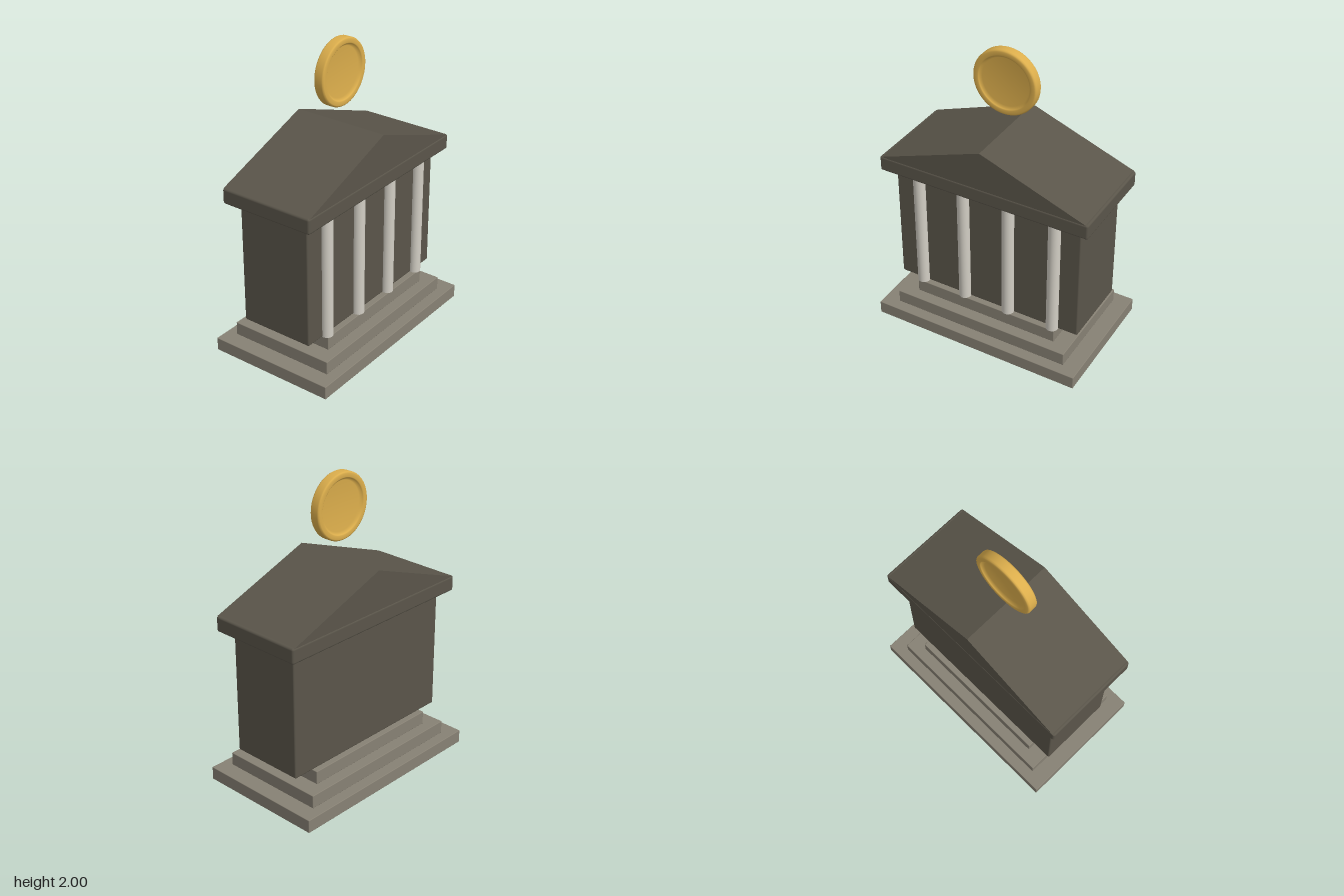
import * as THREE from 'three';
import { RoundedBoxGeometry } from 'three/addons/geometries/RoundedBoxGeometry.js';

export function createModel() {
  const material = (name, color) => {
    const m = new THREE.MeshStandardMaterial({ color });
    m.name = name;
    return m;
  };
  const darkStone = material('dark stone', 0x5a554a);
  const stepStone = material('step stone', 0x878174);
  const paleStone = material('pale stone', 0xd2cec4);
  const gold = material('gold', 0xdcae4c);

  const model = new THREE.Group();
  model.name = 'bank';
  const add = (name, geometry, mat, x = 0, y = 0, z = 0) => {
    const mesh = new THREE.Mesh(geometry, mat);
    mesh.name = name;
    mesh.position.set(x, y, z);
    model.add(mesh);
    return mesh;
  };
  // Softly edged block, given by its bottom and top heights
  const block = (name, w, d, y0, y1, bevel, mat) =>
    add(name, new RoundedBoxGeometry(w, y1 - y0, d, 2, bevel), mat, 0, (y0 + y1) / 2, 0);

  // Three steps
  block('bottomStep', 1.454, 0.872, 0, 0.089, 0.004, stepStone);
  block('middleStep', 1.236, 0.728, 0.089, 0.178, 0.004, stepStone);
  block('topStep', 1.016, 0.58, 0.178, 0.268, 0.004, stepStone);

  // Hall and cornice
  block('hall', 1.306, 0.506, 0.266, 1.096, 0.01, darkStone);
  block('cornice', 1.454, 0.652, 1.094, 1.197, 0.014, darkStone);

  // Columns half sunk into the front wall
  for (const x of [-0.48, -0.16, 0.16, 0.48]) {
    add('column', new THREE.CylinderGeometry(0.04, 0.04, 0.828, 32), paleStone, x, 0.681, 0.261);
  }

  // Gabled roof
  const gable = new THREE.Shape([
    new THREE.Vector2(-0.717, 0),
    new THREE.Vector2(0.717, 0),
    new THREE.Vector2(0, 0.262),
  ]);
  const roof = new THREE.ExtrudeGeometry(gable, { depth: 0.648, bevelEnabled: false });
  roof.translate(0, 0, -0.324);
  add('roof', roof, darkStone, 0, 1.194, 0);

  // Floating coin, sunk on both faces inside a raised rim
  const half = [
    [0, 0.014], [0.16, 0.014], [0.176, 0.031], [0.182, 0.035],
    [0.204, 0.035], [0.212, 0.031], [0.216, 0.023],
  ].map(([r, h]) => new THREE.Vector2(r, h));
  const lower = half.map((p) => new THREE.Vector2(p.x, -p.y));
  const coin = new THREE.LatheGeometry([...lower, ...half.reverse()], 64);
  coin.rotateX(Math.PI / 2);
  add('coin', coin, gold, 0, 1.784, 0);

  return model;
}
